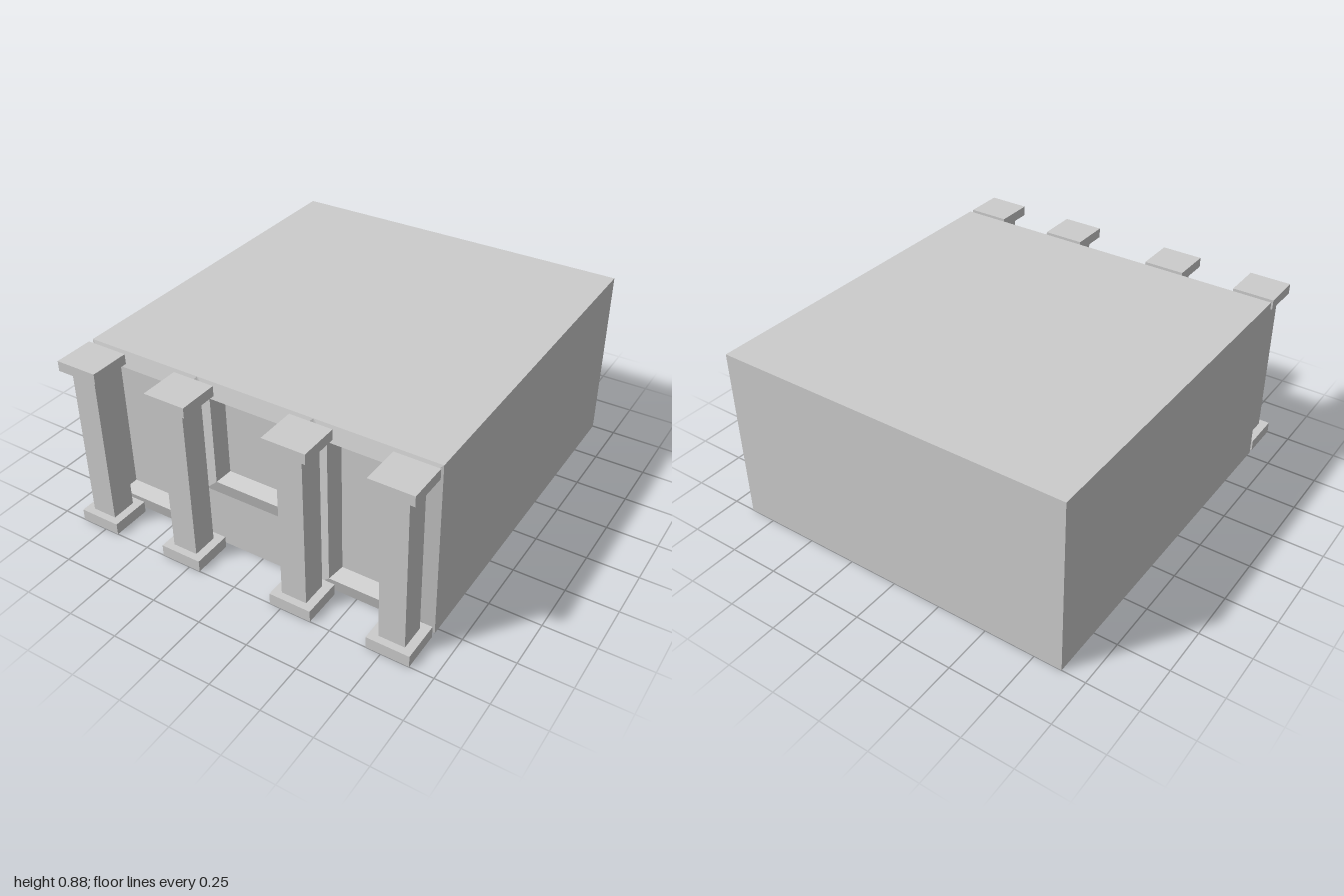
import * as THREE from 'three';

const W = 0.885, H = 0.885, BACK = -1, FACE = 0.78, RIDGE = 0.8, RECESS = 0.73;
const material = new THREE.MeshStandardMaterial({ color: 0xcccccc, flatShading: true });

// Corners of a front-facing rectangle, counter-clockwise seen from +z
const rect = (x0, x1, y0, y1, z, inset = 0) => [
  [x0 + inset, y0 + inset, z], [x1 - inset, y0 + inset, z],
  [x1 - inset, y1 - inset, z], [x0 + inset, y1 - inset, z],
];

function meshFromQuads(name, quads) {
  const positions = quads.flatMap(([a, b, c, d]) => [a, b, c, a, c, d]).flat();
  const geometry = new THREE.BufferGeometry();
  geometry.setAttribute('position', new THREE.Float32BufferAttribute(positions, 3));
  geometry.computeVertexNormals();
  const mesh = new THREE.Mesh(geometry, material);
  mesh.name = name;
  return mesh;
}

// Four quads joining an outer rectangle to the next one inside it
const band = (outer, inner) => outer.map((p, i) => {
  const j = (i + 1) % 4;
  return [p, outer[j], inner[j], inner[i]];
});

// Sloping surround rising to a ridge, then dropping into a recessed pane
function panel(name, x0, x1, y0, y1) {
  const loops = [
    rect(x0, x1, y0, y1, FACE),
    rect(x0, x1, y0, y1, RIDGE, 0.075),
    rect(x0, x1, y0, y1, RECESS, 0.1),
  ];
  return meshFromQuads(name, [
    ...band(loops[0], loops[1]), ...band(loops[1], loops[2]), loops[2],
  ]);
}

function column(x) {
  const group = new THREE.Group();
  group.name = 'column';
  const block = (name, width, depth, y0, y1) => {
    const mesh = new THREE.Mesh(new THREE.BoxGeometry(width, y1 - y0, depth), material);
    mesh.name = name;
    mesh.position.y = (y0 + y1) / 2;
    group.add(mesh);
  };
  block('columnBase', 0.208, 0.196, 0, 0.058);
  block('columnShaft', 0.126, 0.126, 0.058, H - 0.05);
  block('columnCapital', 0.208, 0.196, H - 0.05, H);
  group.position.set(x, 0, 0.902);
  return group;
}

export function createModel() {
  const model = new THREE.Group();
  model.name = 'buildingBlock';

  // Plain sides, roof, floor and back
  const front = rect(-W, W, 0, H, FACE);
  const back = rect(-W, W, 0, H, BACK);
  model.add(meshFromQuads('buildingShell', [...band(back, front), [...back].reverse()]));

  // Facade: two tall panels flanking a window above a plain wall
  const bay = W / 3, sill = 0.29;
  model.add(
    panel('rightPanel', -W, -bay, 0, H),
    panel('windowPanel', -bay, bay, sill, H),
    panel('leftPanel', bay, W, 0, H),
    meshFromQuads('wallBelowWindow', [rect(-bay, bay, 0, sill, FACE)]),
  );

  // Row of free-standing columns
  for (const x of [-0.781, -0.297, 0.297, 0.781]) model.add(column(x));
  return model;
}
